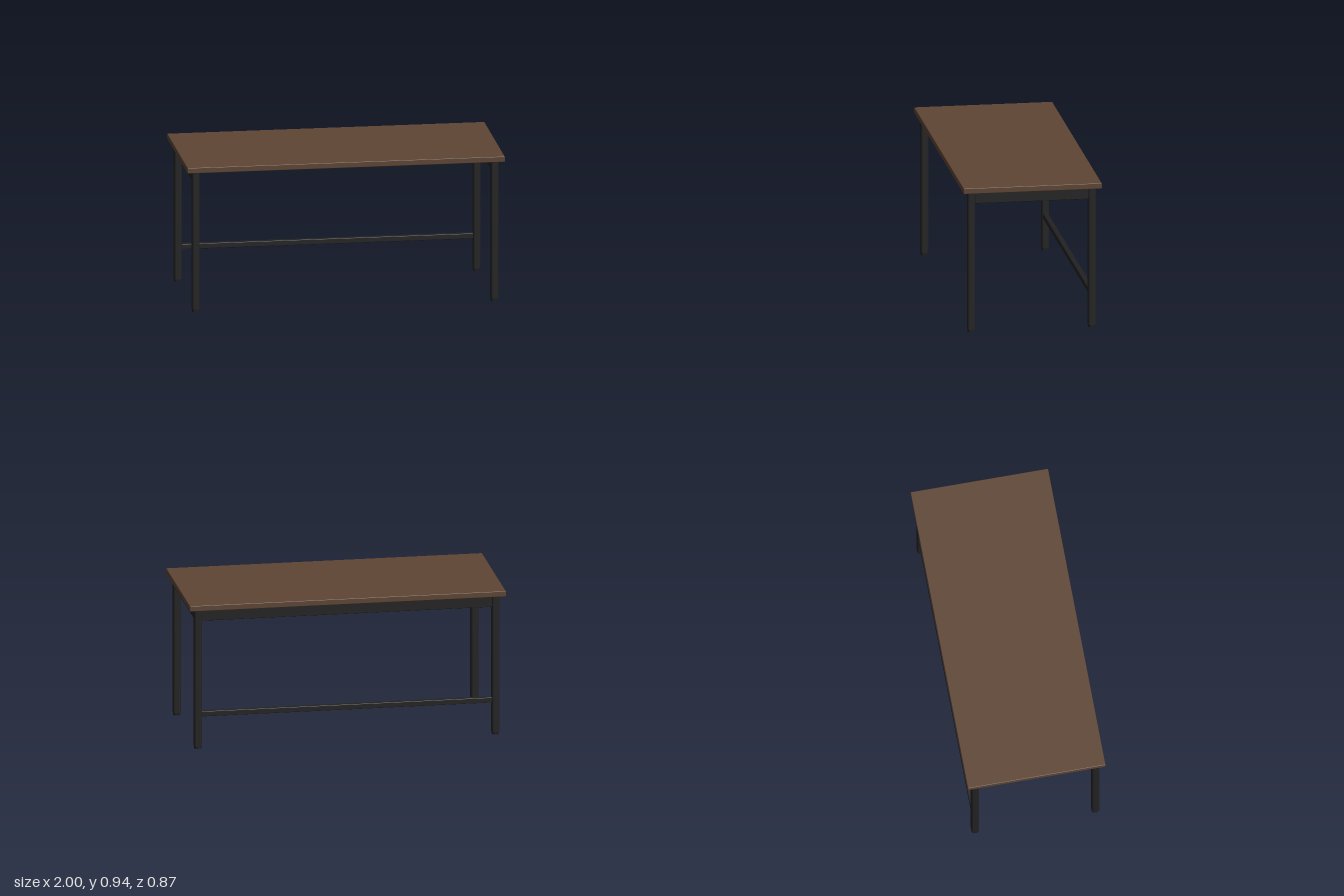
import * as THREE from 'three';
import { RoundedBoxGeometry } from 'three/addons/geometries/RoundedBoxGeometry.js';

// Vertical post with a rounded square section, standing on y = 0
function postGeometry(width, radius, height) {
  const h = width / 2, i = h - radius;
  const s = new THREE.Shape();
  s.absarc(i, i, radius, 0, Math.PI / 2);
  s.absarc(-i, i, radius, Math.PI / 2, Math.PI);
  s.absarc(-i, -i, radius, Math.PI, Math.PI * 1.5);
  s.absarc(i, -i, radius, Math.PI * 1.5, Math.PI * 2);
  s.closePath();
  const g = new THREE.ExtrudeGeometry(s, { depth: height, bevelEnabled: false, curveSegments: 5 });
  return g.rotateX(-Math.PI / 2);
}

export function createModel() {
  const table = new THREE.Group();
  table.name = 'table';

  const wood = new THREE.MeshStandardMaterial({ color: 0x5e4534 });
  wood.name = 'brown wood';
  const metal = new THREE.MeshStandardMaterial({ color: 0x222222 });
  metal.name = 'black metal';
  const rubber = new THREE.MeshStandardMaterial({ color: 0x1b1b1b });
  rubber.name = 'dark rubber';

  const add = (name, geometry, material, x, y, z) => {
    const mesh = new THREE.Mesh(geometry, material);
    mesh.name = name;
    mesh.position.set(x, y, z);
    table.add(mesh);
  };

  const TOP = 0.937, UNDER = 0.901, FOOT = 0.016;
  const legX = 0.942, legZ = 0.381, legW = 0.049;

  // Table top with softened edges
  add('tableTop', new RoundedBoxGeometry(2, TOP - UNDER, 0.872, 2, 0.004), wood, 0, (TOP + UNDER) / 2, 0);

  // Legs with slightly narrower feet
  const leg = postGeometry(legW, 0.012, UNDER - FOOT);
  const foot = postGeometry(0.043, 0.012, FOOT);
  for (const sx of [-1, 1]) {
    for (const sz of [-1, 1]) {
      const name = (sz > 0 ? 'front' : 'back') + (sx > 0 ? 'Left' : 'Right');
      add(name + 'Leg', leg, metal, sx * legX, FOOT, sz * legZ);
      add(name + 'Foot', foot, rubber, sx * legX, 0, sz * legZ);
    }
  }

  // Aprons on both sides and the back; the front stays open
  const apronH = 0.074, apronT = 0.033, apronY = UNDER - apronH / 2;
  const spanX = 2 * legX - legW + 0.004, spanZ = 2 * legZ - legW + 0.004;
  const sideApron = new RoundedBoxGeometry(apronT, apronH, spanZ, 2, 0.004);
  add('leftApron', sideApron, metal, legX, apronY, 0);
  add('rightApron', sideApron, metal, -legX, apronY, 0);
  add('backApron', new RoundedBoxGeometry(spanX, apronH, apronT, 2, 0.004), metal, 0, apronY, -legZ);

  // Low stretcher between the back legs
  add('backStretcher', new RoundedBoxGeometry(spanX, 0.034, 0.033, 2, 0.004), metal, 0, 0.223, -legZ);

  return table;
}
